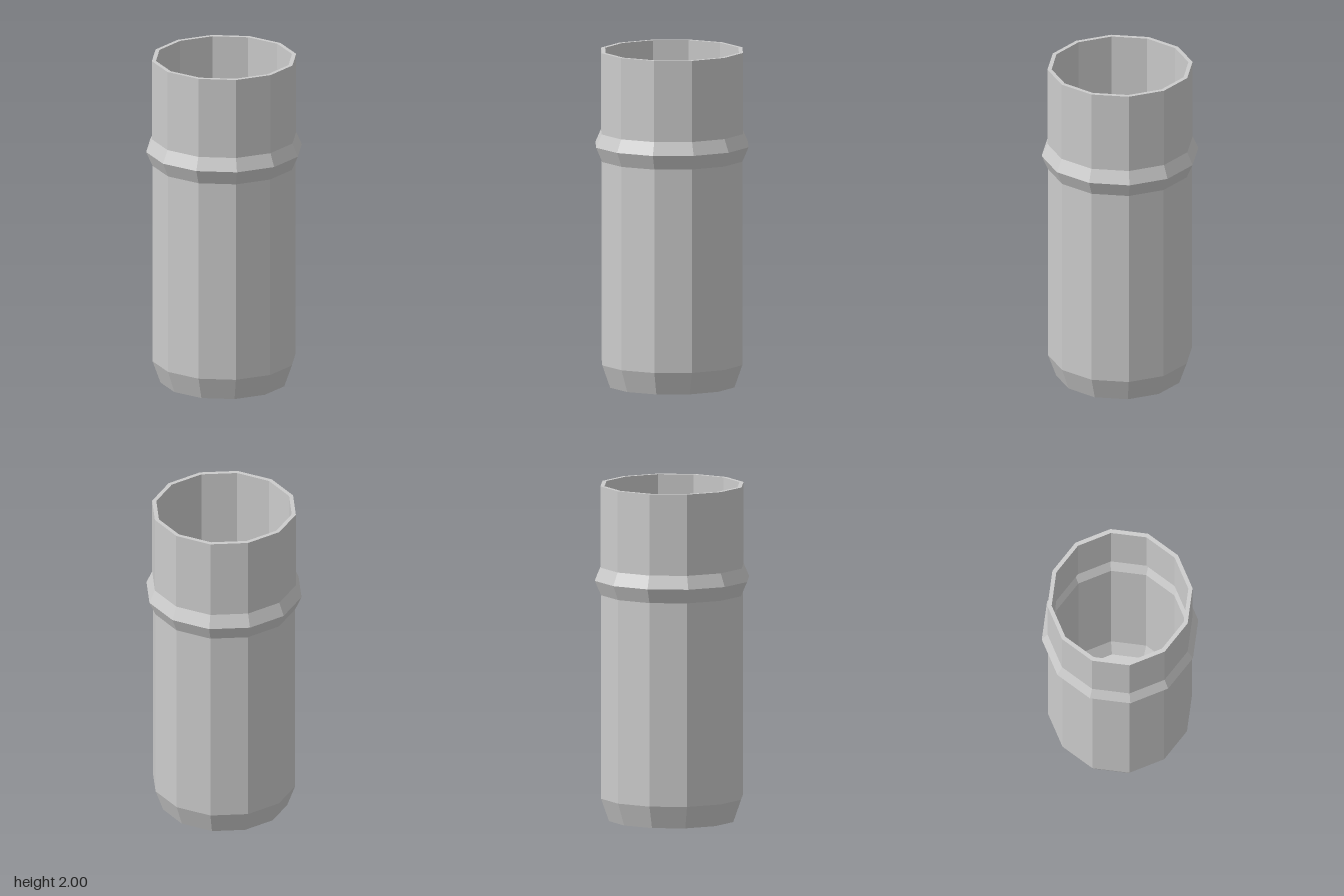
import * as THREE from 'three';

const SIDES = 12;

// Faceted surface of revolution from [radius, height] points
function turned(name, profile, material) {
  const points = profile.map(([r, y]) => new THREE.Vector2(r, y));
  const geometry = new THREE.LatheGeometry(points, SIDES).toNonIndexed();
  geometry.computeVertexNormals();
  const mesh = new THREE.Mesh(geometry, material);
  mesh.name = name;
  return mesh;
}

export function createModel() {
  const group = new THREE.Group();
  group.name = 'cup';
  const material = new THREE.MeshStandardMaterial({ color: 0xcccccc, flatShading: true });

  // Outside: flat base, chamfer, straight wall, raised ring, upper wall
  const outside = [
    [0, 0], [0.38, 0], [0.428, 0.135], [0.428, 1.35],
    [0.466, 1.437], [0.432, 1.515], [0.432, 2],
  ];
  // Inside: the same profile set in by the wall thickness, from rim to floor
  const inside = [
    [0.407, 2], [0.407, 1.51], [0.44, 1.437], [0.404, 1.355],
    [0.404, 0.139], [0.363, 0.024], [0, 0.024],
  ];

  group.add(turned('outerWall', outside, material));
  group.add(turned('rim', [outside.at(-1), inside[0]], material));
  group.add(turned('innerWall', inside, material));
  return group;
}
